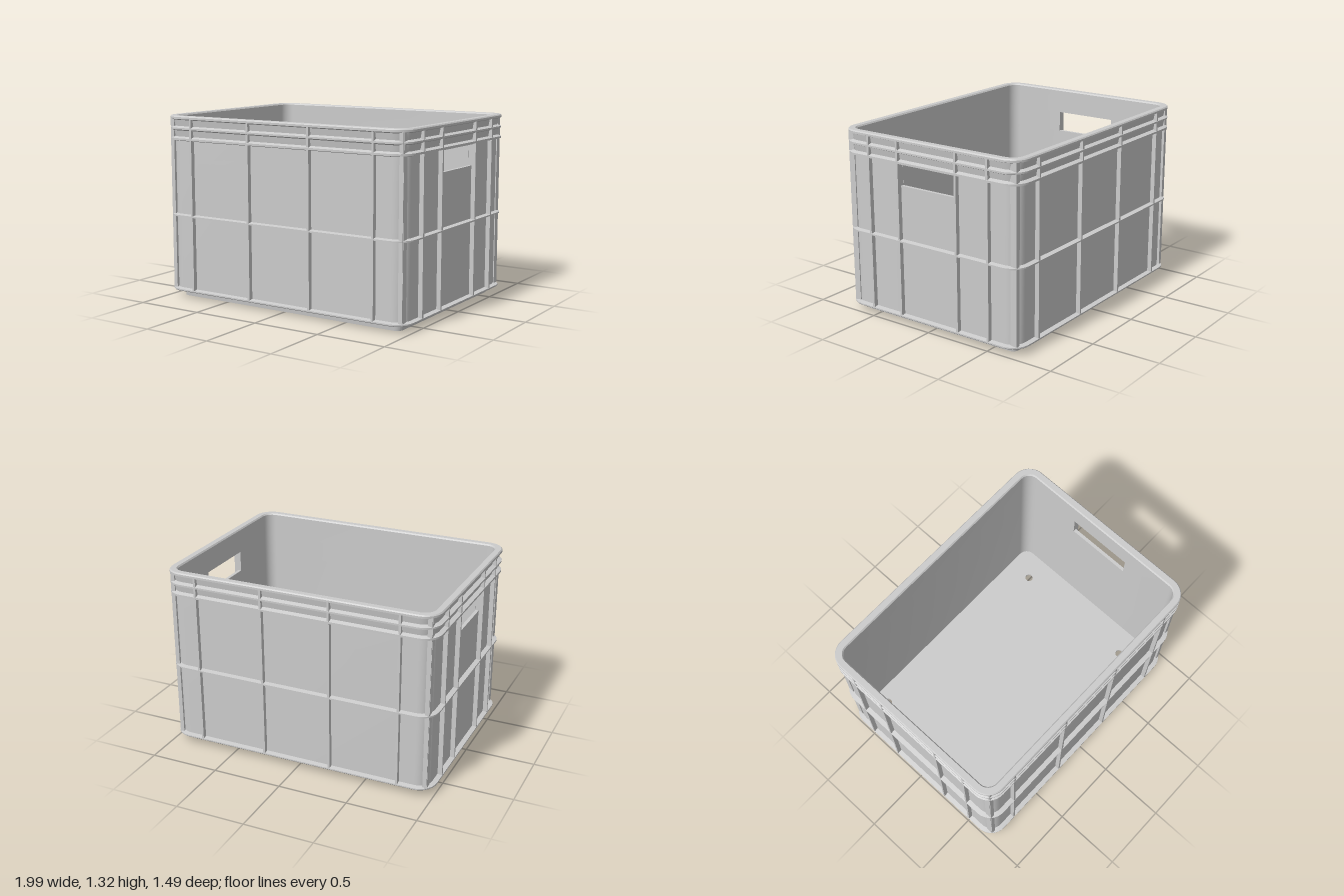
import * as THREE from 'three';
import { toCreasedNormals } from 'three/addons/utils/BufferGeometryUtils.js';

const X = 0.996, Z = 0.743, R = 0.13;       // outer half sizes and corner radius
const GRIP = 0.237, SILL = 0.99, HEAD = 1.14; // handle opening
const material = new THREE.MeshStandardMaterial({ color: 0xcccccc, side: THREE.DoubleSide });

// Rounded rectangle outline; each point is a corner centre plus a direction
function outline() {
  const pts = [];
  const corner = (sx, sz, start) => {
    for (let i = 0; i <= 8; i++) {
      pts.push({ x: sx * (X - R), z: sz * (Z - R), a: start + (i / 8) * Math.PI / 2 });
    }
  };
  pts.push({ x: X - R, z: -GRIP, a: 0, grip: true }, { x: X - R, z: GRIP, a: 0 });
  corner(1, 1, 0);
  corner(-1, 1, Math.PI / 2);
  pts.push({ x: R - X, z: GRIP, a: Math.PI, grip: true }, { x: R - X, z: -GRIP, a: Math.PI });
  corner(-1, -1, Math.PI);
  corner(1, -1, Math.PI * 1.5);
  return pts;
}

// Sweep an [offset, y] profile round the outline, leaving out the grip openings
function sweep(profile) {
  const path = outline(), pos = [], index = [], n = profile.length;
  for (const p of path) {
    for (const [o, y] of profile) {
      pos.push(p.x + (R + o) * Math.cos(p.a), y, p.z + (R + o) * Math.sin(p.a));
    }
  }
  const inGrip = ([, y]) => y >= SILL && y <= HEAD;
  path.forEach((p, i) => {
    const a = i * n, b = ((i + 1) % path.length) * n;
    for (let j = 0; j < n - 1; j++) {
      if (p.grip && inGrip(profile[j]) && inGrip(profile[j + 1])) continue;
      index.push(a + j, a + j + 1, b + j, b + j, a + j + 1, b + j + 1);
    }
  });
  const g = new THREE.BufferGeometry();
  g.setAttribute('position', new THREE.Float32BufferAttribute(pos, 3));
  g.setIndex(index);
  return toCreasedNormals(g, 0.5);
}

export function createModel() {
  const crate = new THREE.Group();
  crate.name = 'crate';
  const add = (name, geometry, x = 0, y = 0, z = 0) => {
    const m = new THREE.Mesh(geometry, material);
    m.name = name;
    m.position.set(x, y, z);
    crate.add(m);
    return m;
  };
  // Box given by its limits on each axis
  const block = (name, x0, x1, y0, y1, z0, z1) =>
    add(name, new THREE.BoxGeometry(Math.abs(x1 - x0), y1 - y0, Math.abs(z1 - z0)),
      (x0 + x1) / 2, (y0 + y1) / 2, (z0 + z1) / 2);

  // Walls: foot, base ledge, middle band, two upper bands, rim, inner face
  add('walls', sweep([
    [-0.115, 0.055], [-0.11, 0], [-0.085, 0], [-0.078, 0.05],
    [-0.005, 0.05], [0, 0.055], [0, 0.064], [-0.034, 0.07],
    [-0.034, 0.592], [0, 0.598], [0, 0.608], [-0.034, 0.614],
    [-0.034, SILL], [-0.034, HEAD], [0, 1.148], [0, 1.162],
    [-0.03, 1.172], [-0.022, 1.215], [0, 1.224], [0, 1.236],
    [-0.03, 1.246], [-0.022, 1.29], [0, 1.298], [0, 1.312],
    [-0.007, 1.32], [-0.048, 1.32], [-0.056, 1.31],
    [-0.056, HEAD], [-0.056, SILL], [-0.056, 0.065],
  ]));

  // Vertical ribs on the long walls and the ends
  const w = 0.008;
  for (const s of [-1, 1]) {
    for (const x of [-0.85 - 0.1, -0.75, -0.25, 0.25, 0.75, 0.95]) {
      const corner = Math.abs(x) > 0.9;
      const inset = corner ? 0.04 : 0.002;
      block('longWallRib', x - w, x + w, 0.055, 1.305, s * (Z - inset - 0.045), s * (Z - inset));
    }
    for (const z of [-0.7, -0.5, -GRIP - w, GRIP + w, 0.5, 0.7]) {
      const inset = Math.abs(z) > 0.6 ? 0.04 : 0.002;
      const depth = Math.abs(z) > 0.6 ? 0.03 : 0.053;
      block('endWallRib', s * (X - inset - depth), s * (X - inset), 0.055, 1.305, z - w, z + w);
    }
    // Top and bottom edges of each handle opening
    block('handleSill', s * (X - 0.056), s * (X - 0.032), SILL - 0.012, SILL, -GRIP, GRIP);
    block('handleHead', s * (X - 0.056), s * (X - 0.02), HEAD, HEAD + 0.012, -GRIP, GRIP);
  }

  // Floor plate with four drain holes
  const fx = X - 0.05, fz = Z - 0.05, r = R - 0.05;
  const floor = new THREE.Shape();
  floor.absarc(fx - r, fz - r, r, 0, Math.PI / 2);
  floor.absarc(r - fx, fz - r, r, Math.PI / 2, Math.PI);
  floor.absarc(r - fx, r - fz, r, Math.PI, Math.PI * 1.5);
  floor.absarc(fx - r, r - fz, r, Math.PI * 1.5, Math.PI * 2);
  for (const [x, z] of [[-0.76, -0.58], [0.76, -0.49], [0.76, 0.47], [-0.82, 0.53]]) {
    floor.holes.push(new THREE.Path().absarc(x, -z, 0.03, 0, Math.PI * 2, true));
  }
  const plate = new THREE.ExtrudeGeometry(floor, { depth: 0.018, bevelEnabled: false, curveSegments: 8 });
  plate.rotateX(-Math.PI / 2);
  add('floor', plate, 0, 0.052, 0);

  // Grid of stiffening ribs beneath the floor
  const gx = X - 0.11, gz = Z - 0.11, h = 0.016;
  for (let i = 1; i < 5; i++) {
    const x = -gx + (i * 2 * gx) / 5;
    block('floorRib', x - h, x + h, 0.008, 0.055, -gz, gz);
  }
  for (let i = 1; i < 4; i++) {
    const z = -gz + (i * 2 * gz) / 4;
    block('floorRib', -gx, gx, 0.009, 0.055, z - h, z + h);
  }
  return crate;
}
